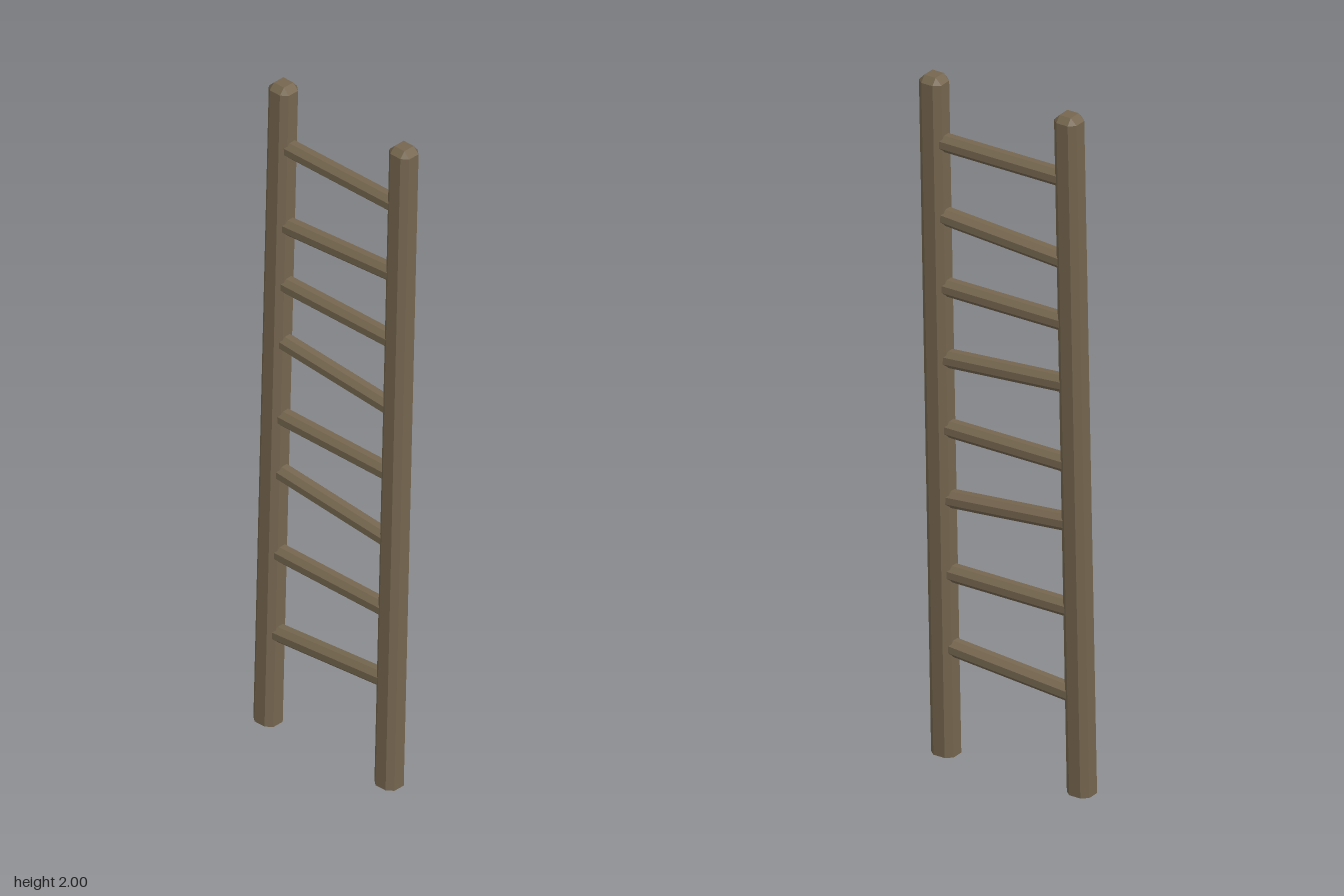
import * as THREE from 'three';
import { ConvexGeometry } from 'three/addons/geometries/ConvexGeometry.js';

const wood = new THREE.MeshStandardMaterial({ color: 0x75664f, flatShading: true });
const UP = new THREE.Vector3(0, 1, 0);

// Octagonal post with a chamfered top ending in a small square
function railGeometry(length) {
  const w = 0.036, d = 0.033, c = 0.018, half = length / 2;
  const points = [];
  for (const sx of [-1, 1]) {
    for (const sz of [-1, 1]) {
      for (const y of [-half, half - 0.018]) {
        points.push(new THREE.Vector3(sx * w, y, sz * c), new THREE.Vector3(sx * c, y, sz * d));
      }
      points.push(new THREE.Vector3(sx * c, half, sz * c));
    }
  }
  return new ConvexGeometry(points);
}

// Place a mesh whose length runs along y between two points
function between(name, geometry, a, b) {
  const mesh = new THREE.Mesh(geometry, wood);
  mesh.name = name;
  mesh.position.copy(a).add(b).multiplyScalar(0.5);
  mesh.quaternion.setFromUnitVectors(UP, b.clone().sub(a).normalize());
  return mesh;
}

export function createModel() {
  const ladder = new THREE.Group();
  ladder.name = 'ladder';

  // Two side rails, leaning slightly back
  const rails = [
    ['rightRail', -0.218, -0.220],
    ['leftRail', 0.218, 0.214],
  ];
  for (const [name, xBottom, xTop] of rails) {
    const a = new THREE.Vector3(xBottom, 0.001, 0.03);
    const b = new THREE.Vector3(xTop, 1.999, -0.032);
    ladder.add(between(name, railGeometry(a.distanceTo(b)), a, b));
  }

  // Rungs: height at the right end and at the left end, some crooked
  const rungs = [
    [0.286, 0.32], [0.538, 0.538], [0.792, 0.755], [0.964, 0.964],
    [1.2, 1.168], [1.38, 1.38], [1.562, 1.59], [1.806, 1.806],
  ];
  const leanZ = (y) => 0.03 - 0.031 * y;
  rungs.forEach(([yRight, yLeft], i) => {
    const a = new THREE.Vector3(-0.205, yRight, leanZ(yRight));
    const b = new THREE.Vector3(0.205, yLeft, leanZ(yLeft));
    const geometry = new THREE.CylinderGeometry(0.026, 0.026, a.distanceTo(b), 8, 1, false, Math.PI / 8);
    ladder.add(between(`rung${i + 1}`, geometry, a, b));
  });

  return ladder;
}
